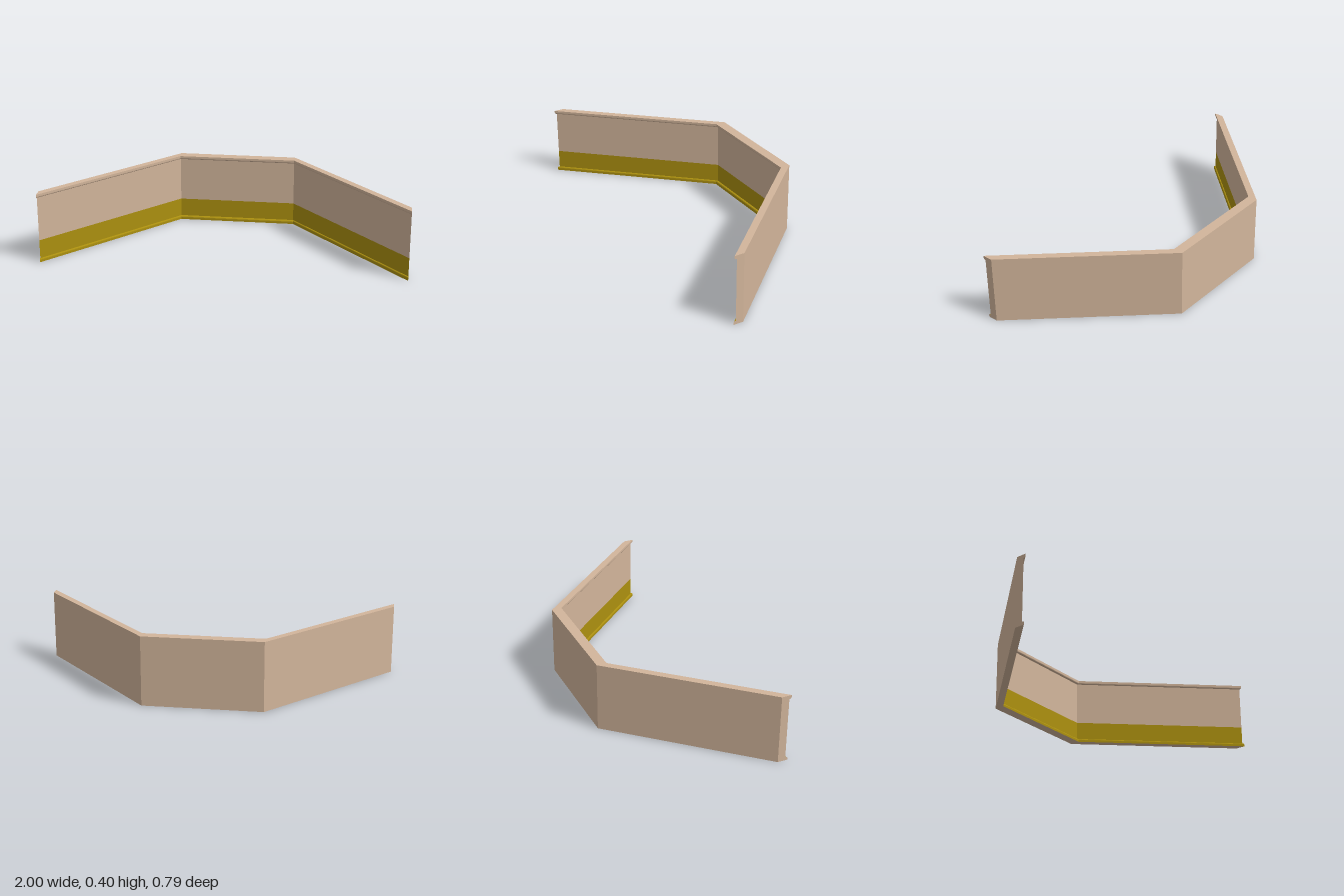
import * as THREE from 'three';

const H = 0.395;      // wall height
const T = 0.056;      // depth at the lips
const F = 0.043;      // depth of the recessed inner face
const LIP = 0.02, R = 0.009;
const PAINT = 0.125;  // top of the painted band

// Plan path of the outer face: [x, z]
const path = [[-1, 0.337], [-0.333, -0.393], [0.333, -0.393], [1, 0.337]];

// Rounded corner of the lower lip, from its front to its top: [depth, y]
const corner = [];
for (let i = 0; i <= 5; i++) {
  const a = (i / 5) * Math.PI / 2;
  corner.push([T - R + R * Math.cos(a), LIP - R + R * Math.sin(a)]);
}
const upperCorner = corner.map(([d, y]) => [d, H - y]).reverse();

// Sections of the wall, in order around the profile
const lower = [[T, 0], ...corner, [F, LIP], [F, PAINT]];
const upper = [[F, PAINT], [F, H - LIP], ...upperCorner, [T, H]];
const shell = [[T, H], [0, H], [0, 0], [T, 0]];

// Sweep a profile along the path with mitred, flat-shaded panels
function sweep(profile) {
  const pos = [];
  for (let s = 0; s < path.length - 1; s++) {
    for (let i = 0; i < profile.length - 1; i++) {
      const at = (p, q) => [p[0], q[1], p[1] + q[0]];
      const a = at(path[s], profile[i]), b = at(path[s + 1], profile[i]);
      const c = at(path[s + 1], profile[i + 1]), d = at(path[s], profile[i + 1]);
      pos.push(...a, ...b, ...c, ...a, ...c, ...d);
    }
  }
  const g = new THREE.BufferGeometry();
  g.setAttribute('position', new THREE.Float32BufferAttribute(pos, 3));
  g.computeVertexNormals();
  return g;
}

// Flat end of the wall, facing outward along x
function endCap(side) {
  const outline = [...lower, ...upper.slice(1), [0, H], [0, 0]];
  const shape = new THREE.Shape(outline.map(([d, y]) => new THREE.Vector2(-side * d, y)));
  return new THREE.ShapeGeometry(shape).rotateY(side * Math.PI / 2).translate(side, 0, path[0][1]);
}

export function createModel() {
  const tan = new THREE.MeshStandardMaterial({ color: 0xd2b59b });
  tan.name = 'tan';
  const ochre = new THREE.MeshStandardMaterial({ color: 0xac900f });
  ochre.name = 'ochre';

  const model = new THREE.Group();
  model.name = 'angledWall';
  const add = (name, geometry, material) => {
    const mesh = new THREE.Mesh(geometry, material);
    mesh.name = name;
    model.add(mesh);
  };

  add('paintedLowerBand', sweep(lower), ochre);
  add('innerFaceAndUpperLip', sweep(upper), tan);
  add('outerShell', sweep(shell), tan);
  add('leftEnd', endCap(1), tan);
  add('rightEnd', endCap(-1), tan);
  return model;
}
